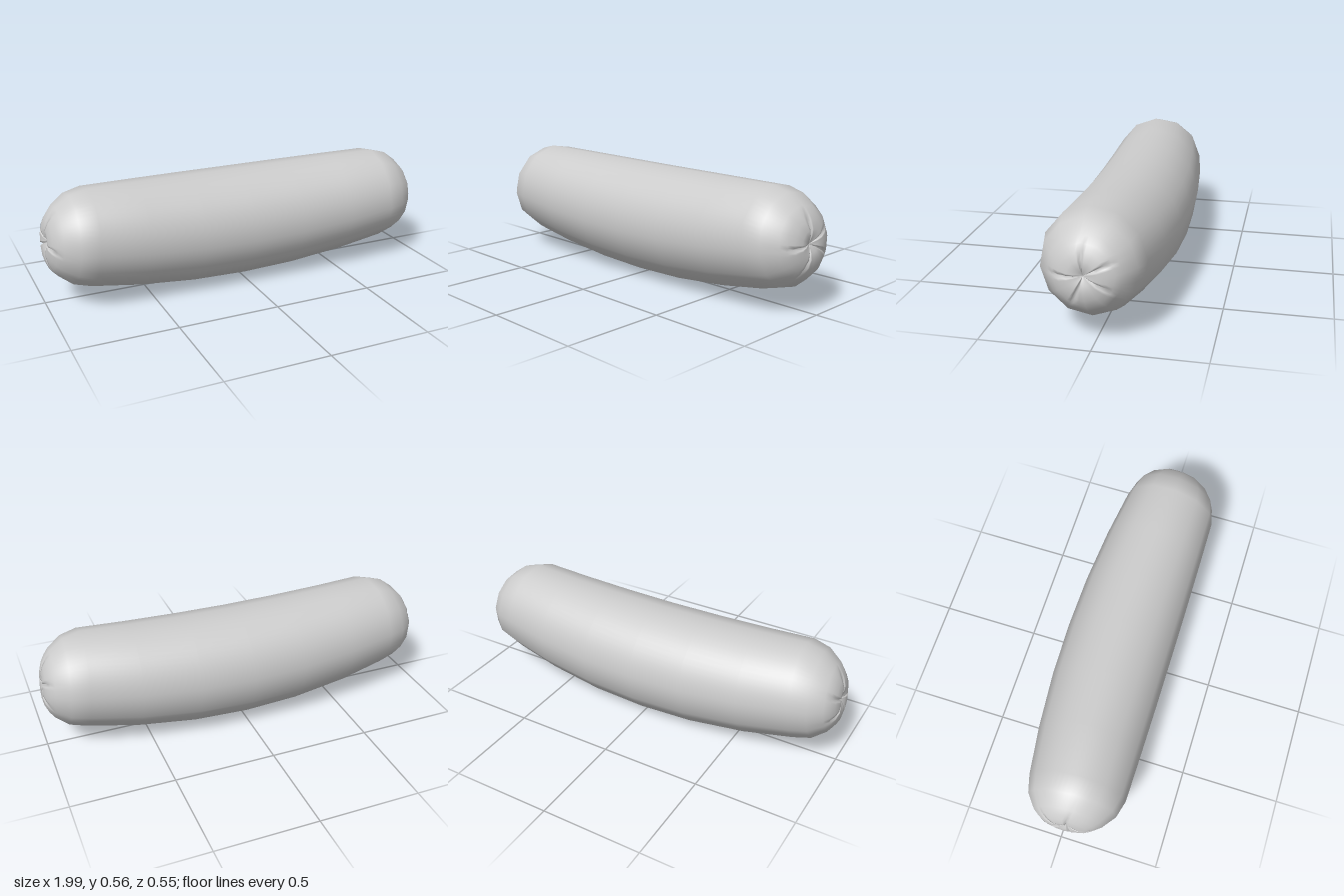
import * as THREE from 'three';

const SIDES = 12, STEPS = 60;
const PHASE = THREE.MathUtils.degToRad(85);
const FOLDS = [0, 11, 20, 34, 45]; // angular steps that carry an end crease

// Half profile from the middle to the tip: distance along, radius, crease depth
const HALF = [
  [0, 0.278, 0], [0.27, 0.274, 0], [0.55, 0.26, 0], [0.79, 0.24, 0],
  [0.875, 0.217, 0], [0.94, 0.167, 0], [0.962, 0.138, 0.004], [0.978, 0.108, 0.014],
  [0.988, 0.07, 0.02], [0.984, 0.04, 0.018], [0.975, 0.018, 0.008], [0.967, 0, 0],
];

// Closed skin swept along a gently bent axis; faceted gives the 12-sided outline
function skin(faceted) {
  const rings = [
    ...HALF.slice(1).reverse().map((p) => [-1, ...p]),
    ...HALF.map((p) => [1, ...p]),
  ];
  const positions = [], index = [];
  rings.forEach(([side, s, radius, depth], i) => {
    const bend = Math.min(s / 0.8, 1) ** 2;
    const tilt = s / 0.8;
    for (let j = 0; j < STEPS; j++) {
      const angle = PHASE + (j / STEPS) * Math.PI * 2;
      const sector = (Math.PI * 2) / SIDES;
      const local = ((j % (STEPS / SIDES)) / STEPS) * Math.PI * 2 - sector / 2;
      const r = radius * (faceted ? Math.cos(sector / 2) / Math.cos(local) : 1);
      const y = r * Math.sin(angle), z = r * Math.cos(angle);
      const crease = FOLDS.includes(j) ? depth : 0;
      const x = s - tilt * (0.065 * y + 0.045 * z) - crease;
      positions.push(side * x, 0.278 + 0.05 * bend + y, 0.035 * bend + z);
      if (i < rings.length - 1) {
        const k = (j + 1) % STEPS;
        const a = i * STEPS + j, b = a + STEPS, c = i * STEPS + k, d = c + STEPS;
        index.push(a, b, c, c, b, d);
      }
    }
  });
  const geometry = new THREE.BufferGeometry();
  geometry.setAttribute('position', new THREE.Float32BufferAttribute(positions, 3));
  geometry.setIndex(index);
  geometry.computeVertexNormals();
  return geometry;
}

export function createModel() {
  const group = new THREE.Group();
  group.name = 'sausage';

  // Few-sided outline shaded with the normals of the round skin
  const geometry = skin(true);
  geometry.setAttribute('normal', skin(false).getAttribute('normal'));
  const mesh = new THREE.Mesh(geometry, new THREE.MeshStandardMaterial({ color: 0xcccccc }));
  mesh.name = 'sausageBody';
  group.add(mesh);
  return group;
}
